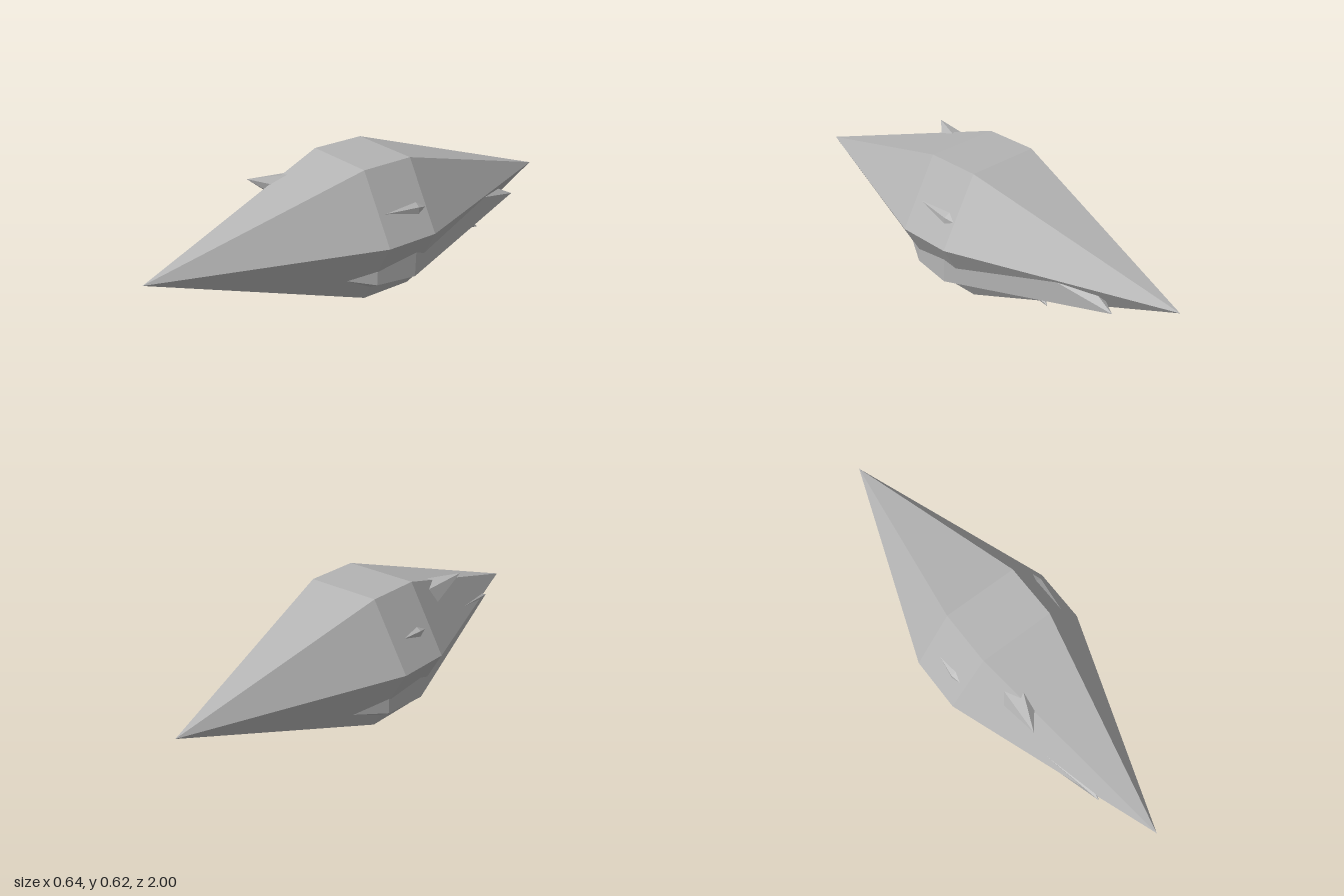
import * as THREE from 'three';

const V = (x, y, z) => new THREE.Vector3(x, y, z);

export function createModel() {
  const group = new THREE.Group();
  group.name = 'crystalCluster';
  const stone = new THREE.MeshStandardMaterial({ color: 0xb4b4b4, flatShading: true });
  stone.name = 'grey crystal';

  // Six-sided prism with a long point at each end; one of its ridges faces `ridge`
  function addCrystal(name, front, back, radius, shoulder, ridge) {
    const half = front.distanceTo(back) / 2;
    const profile = [[0, -half], [radius, -shoulder], [radius, shoulder], [0, half]]
      .map(([r, y]) => new THREE.Vector2(r, y));
    const mesh = new THREE.Mesh(new THREE.LatheGeometry(profile, 6), stone);
    mesh.name = name;

    const axis = front.clone().sub(back).normalize();
    const out = ridge.clone().projectOnPlane(axis).normalize();
    const side = axis.clone().cross(out);
    mesh.quaternion.setFromRotationMatrix(new THREE.Matrix4().makeBasis(side, axis, out));
    mesh.position.copy(front).add(back).multiplyScalar(0.5);
    group.add(mesh);
  }

  // Large level crystal
  addCrystal('mainCrystal', V(0, 0.342, 1), V(0, 0.342, -1), 0.32, 0.116, V(1, 0, 0));
  // Slightly skewed crystal, turned so its ridges break through the flat sides
  addCrystal('secondCrystal', V(-0.095, 0.337, 0.765), V(0.1, 0.275, -0.78), 0.3, 0.09, V(0, 1, 0));
  // Small steep crystal whose two points poke out
  addCrystal('smallCrystal', V(-0.17, 0.56, 0.44), V(0.157, 0.206, -0.515), 0.185, 0.062, V(0, 0, 1));

  return group;
}
